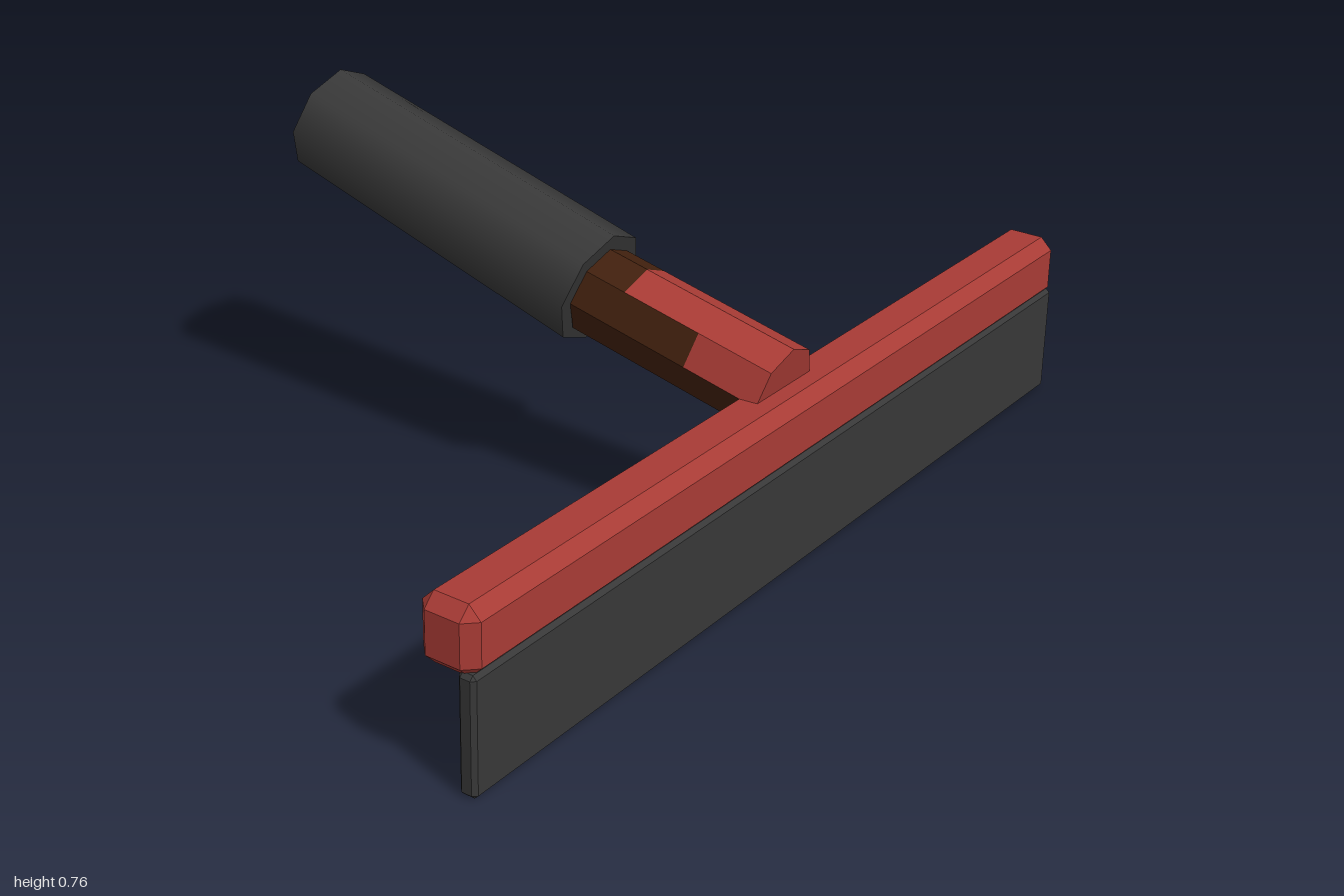
import * as THREE from 'three';
import { ConvexGeometry } from 'three/addons/geometries/ConvexGeometry.js';

const material = (name, color, extra = {}) => {
  const m = new THREE.MeshStandardMaterial({ color, ...extra });
  m.name = name;
  return m;
};

// Box with every edge cut off at 45 degrees
function chamferedBox(w, h, d, c) {
  const points = [];
  for (const x of [-1, 1]) for (const y of [-1, 1]) for (const z of [-1, 1]) {
    const p = [x * w / 2, y * h / 2, z * d / 2];
    const s = [x, y, z];
    for (let keep = 0; keep < 3; keep++) {
      points.push(new THREE.Vector3(...p.map((v, i) => (i === keep ? v : v - s[i] * c))));
    }
  }
  return new ConvexGeometry(points);
}

// Eight-sided bar running back along -z; bands[i] lists [start, end, materialIndex] per facet
function bandedBar(r, length, bands) {
  const buckets = [[], []];
  const at = (i, t) => {
    const a = i * Math.PI / 4;
    return [r * Math.sin(a), r * Math.cos(a), -t * length];
  };
  bands.forEach((list, i) => {
    for (const [s, e, mat] of list) {
      const a = at(i, s), b = at(i + 1, s), c = at(i + 1, e), d = at(i, e);
      buckets[mat].push(...a, ...b, ...c, ...a, ...c, ...d);
    }
    buckets[0].push(0, 0, 0, ...at(i + 1, 0), ...at(i, 0));
    buckets[0].push(0, 0, -length, ...at(i, 1), ...at(i + 1, 1));
  });
  const geo = new THREE.BufferGeometry();
  geo.setAttribute('position', new THREE.Float32BufferAttribute(buckets.flat(), 3));
  geo.addGroup(0, buckets[0].length / 3, 0);
  geo.addGroup(buckets[0].length / 3, buckets[1].length / 3, 1);
  geo.computeVertexNormals();
  return geo;
}

export function createModel() {
  const red = material('red plastic', 0xa83b35);
  const brown = material('dark brown', 0x41200e);
  const rubber = material('dark rubber', 0x383838);

  const model = new THREE.Group();
  model.name = 'squeegee';
  const add = (name, geo, mat, x, y, z) => {
    const mesh = new THREE.Mesh(geo, mat);
    mesh.name = name;
    mesh.position.set(x, y, z);
    model.add(mesh);
    return mesh;
  };

  // Rubber blade and the bar that holds it
  add('blade', chamferedBox(1.99, 0.236, 0.037, 0.008), rubber, 0, 0.122, 0.597);
  add('headBar', chamferedBox(2, 0.136, 0.123, 0.025), red, 0, 0.293, 0.555);

  // Neck, with dark patches under the front and beside the grip
  const frontPatch = [[0, 0.4, 1], [0.4, 1, 0]];
  const backPatch = [[0, 0.78, 0], [0.78, 1, 1]];
  const neck = add('neck', bandedBar(0.094, 0.444, [
    backPatch,
    [[0, 1, 0]],
    [[0, 0.52, 1], [0.52, 1, 0]],
    frontPatch,
    frontPatch,
    [[0, 1, 1]],
    [[0, 0.38, 0], [0.38, 1, 1]],
    backPatch,
  ]), [red, brown], 0, 0.353, 0.555);
  neck.rotation.x = 0.216;

  // Smooth tapered grip
  const gripGeo = new THREE.CylinderGeometry(0.116, 0.123, 0.734, 8).rotateX(-Math.PI / 2);
  const grip = add('grip', gripGeo, rubber, 0, 0.5525, -0.23);
  grip.rotation.x = 0.28;

  return model;
}
